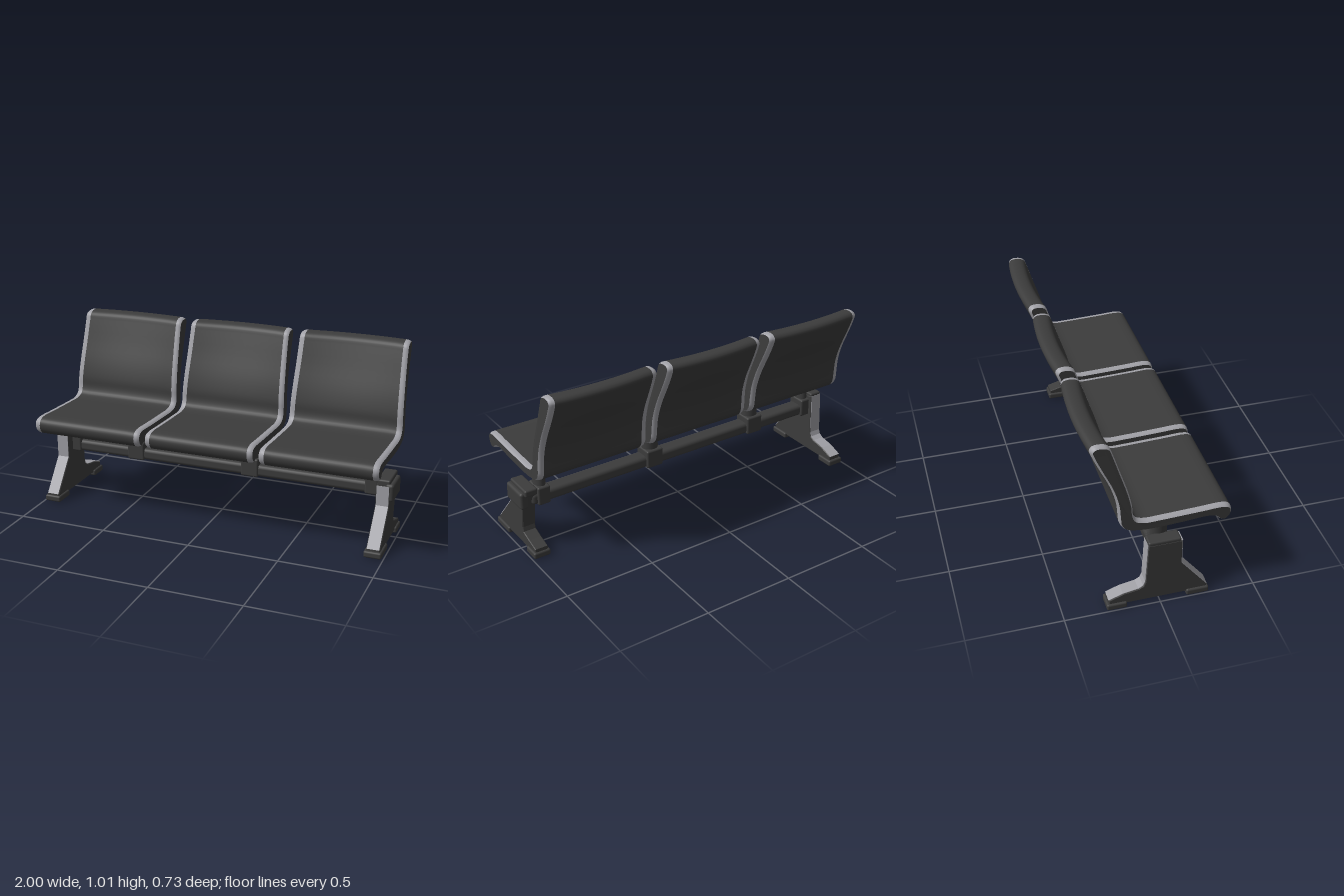
import * as THREE from 'three';
import { RoundedBoxGeometry } from 'three/addons/geometries/RoundedBoxGeometry.js';

const dark = new THREE.MeshStandardMaterial({ color: 0x3c3c3c });
dark.name = 'charcoal';
const silver = new THREE.MeshStandardMaterial({ color: 0xa0a0a6 });
silver.name = 'silver';

function add(parent, name, geometry, material, x = 0, y = 0, z = 0) {
  const mesh = new THREE.Mesh(geometry, material);
  mesh.name = name;
  mesh.position.set(x, y, z);
  parent.add(mesh);
  return mesh;
}

// Rounded box given by its limits on each axis
function block(parent, name, [x0, x1], [y0, y1], [z0, z1], radius = 0.01) {
  const geo = new RoundedBoxGeometry(x1 - x0, y1 - y0, z1 - z0, 2, radius);
  return add(parent, name, geo, dark, (x0 + x1) / 2, (y0 + y1) / 2, (z0 + z1) / 2);
}

// Side outline given as (z, y), extruded across x
function sidePlate(points, width, bevel = 0) {
  const shape = new THREE.Shape(points.map(([z, y]) => new THREE.Vector2(z, y)));
  const geo = new THREE.ExtrudeGeometry(shape, {
    depth: width - 2 * bevel, bevelEnabled: bevel > 0,
    bevelSize: bevel, bevelThickness: bevel, bevelOffset: -bevel, bevelSegments: 1,
  });
  geo.rotateY(-Math.PI / 2);
  return geo.translate((width - 2 * bevel) / 2, 0, 0);
}

// Seat side outline as (z, y): over the cushion, up the backrest, down behind, and under
const seatOutline = [
  [0.365, 0.5], [0.355, 0.526], [0.325, 0.54], [0.2, 0.537], [0, 0.53], [-0.085, 0.53],
  [-0.125, 0.546], [-0.139, 0.58], [-0.143, 0.63], [-0.163, 0.72], [-0.2, 0.84], [-0.238, 0.96],
  [-0.25, 0.99], [-0.275, 1.005], [-0.325, 1.005], [-0.342, 0.985], [-0.333, 0.95], [-0.295, 0.86],
  [-0.25, 0.76], [-0.22, 0.66], [-0.212, 0.58], [-0.206, 0.53], [-0.18, 0.494], [-0.13, 0.477],
  [-0.05, 0.47], [0.1, 0.475], [0.24, 0.484], [0.28, 0.476], [0.3, 0.456], [0.33, 0.447], [0.355, 0.467],
];
const loop = new THREE.CatmullRomCurve3(
  seatOutline.map(([z, y]) => new THREE.Vector3(z, y, 0)), true, 'centripetal').getPoints(110).slice(0, -1);

// Outline at station u (-1..1): tapers upward, and the backrest bows to the rear
function section(u, inset, halfWidth) {
  const n = loop.length;
  return loop.map((p, i) => {
    const a = loop[(i + n - 1) % n], b = loop[(i + 1) % n];
    const dz = b.x - a.x, dy = b.y - a.y, len = Math.hypot(dz, dy);
    const z = p.x - (dy / len) * inset, y = p.y + (dz / len) * inset;
    const rise = THREE.MathUtils.smoothstep(y, 0.5, 1);
    return [u * (halfWidth - 0.015 * rise), y, z - 0.023 * rise * (1 - u * u)];
  });
}

function loft(sections) {
  const n = loop.length, index = [];
  for (let i = 0; i < sections.length - 1; i++) {
    for (let j = 0; j < n; j++) {
      const k = (j + 1) % n, a = i * n + j, b = i * n + k, c = a + n, d = b + n;
      index.push(a, c, b, b, c, d);
    }
  }
  return finish(sections.flat(2), index);
}

function finish(positions, index) {
  const geo = new THREE.BufferGeometry();
  geo.setAttribute('position', new THREE.Float32BufferAttribute(positions, 3));
  geo.setIndex(index);
  geo.computeVertexNormals();
  return geo;
}

function makeSeat(x, halfWidth) {
  const seat = new THREE.Group();
  seat.name = 'seat';
  seat.position.x = x;
  const edge = 0.905, cut = (u, inset = 0) => section(u, inset, halfWidth);

  // Padded shell
  const stations = [];
  for (let i = 0; i <= 12; i++) stations.push(cut(edge * (i / 6 - 1)));
  add(seat, 'seatShell', loft(stations), dark);

  // Edge trim and end panel on each side
  for (const s of [-1, 1]) {
    const trim = [cut(s, 0.009), cut(s * 0.98, 0.004), cut(s * 0.95, 0.001), cut(s * edge)];
    add(seat, 'seatTrim', loft(s < 0 ? trim : trim.reverse()), silver);
    const rim = cut(s, 0.009);
    const tris = THREE.ShapeUtils.triangulateShape(rim.map(([, y, z]) => new THREE.Vector2(z, y)), []);
    add(seat, 'seatEndPanel',
      finish(rim.flat(), tris.flatMap(([a, b, c]) => (s < 0 ? [a, b, c] : [a, c, b]))), dark);
  }
  return seat;
}

// Leg from its front and rear edges, listed from top to bottom
function makeLeg(name, x, front, rear, pads, silverRear) {
  const leg = new THREE.Group();
  leg.name = name;
  leg.position.x = x;
  add(leg, 'legBody', sidePlate([...rear, ...[...front].reverse()], 0.074, 0.004), dark);

  // Thin bright facings on the edges
  const facing = (edge, dir) => {
    const out = edge.map(([z, y]) => [z + dir * 0.003, y + 0.002]);
    const inner = edge.map(([z, y]) => [z - dir * 0.004, y]);
    add(leg, 'legFacing', sidePlate([...out, ...inner.reverse()], 0.066), silver);
  };
  facing(front.slice(0, -1), 1);
  if (silverRear) facing(rear.slice(0, -1), -1);

  // Foot pads
  for (const range of pads) block(leg, 'footPad', [-0.048, 0.048], [0, 0.036], range);
  return leg;
}

export function createModel() {
  const model = new THREE.Group();
  model.name = 'bench';

  model.add(makeSeat(-0.655, 0.316), makeSeat(0, 0.305), makeSeat(0.655, 0.316));

  // Supporting beam
  block(model, 'beam', [-0.93, 0.93], [0.252, 0.318], [-0.035, 0.055], 0.02);

  // Posts with beam sleeves and mounting plates
  for (const [x, r] of [[-0.893, 0.032], [-0.507, 0.047], [0.18, 0.047], [0.865, 0.032]]) {
    const post = new THREE.Group();
    post.name = 'post';
    post.position.set(x, 0, 0.012);
    model.add(post);
    const column = add(post, 'postColumn', new THREE.CylinderGeometry(r * 0.95, r, 0.16, 24), dark, 0, 0.38, 0);
    column.scale.z = 0.046 / r;
    const plate = add(post, 'mountingPlate', new THREE.CylinderGeometry(0.07, 0.062, 0.026, 24), dark, 0, 0.463, 0);
    plate.scale.x = r < 0.04 ? 0.75 : 1;
    block(post, 'beamSleeve', [-r - 0.004, r + 0.004], [0.25, 0.355], [-0.06, 0.05]);
  }

  // Right-hand leg, bright on both edges
  const rightLeg = makeLeg('rightLeg', -0.948,
    [[0.11, 0.375], [0.11, 0.225], [0.25, 0.045], [0.25, 0.022]],
    [[-0.065, 0.375], [-0.075, 0.14], [-0.085, 0.115], [-0.11, 0.1], [-0.19, 0.086], [-0.265, 0.058], [-0.265, 0.022]],
    [[0.14, 0.26], [-0.278, -0.172]], true);
  block(rightLeg, 'legCap', [-0.036, 0.036], [0.365, 0.392], [-0.065, 0.105]);
  model.add(rightLeg);

  // Left-hand leg with the outer beam bracket
  const leftLeg = makeLeg('leftLeg', 0.943,
    [[0.128, 0.335], [0.128, 0.225], [0.285, 0.045], [0.285, 0.022]],
    [[-0.035, 0.335], [-0.012, 0.25], [0.005, 0.12], [-0.002, 0.095], [-0.06, 0.075], [-0.13, 0.055], [-0.13, 0.022]],
    [[0.158, 0.3], [-0.14, -0.043]], false);
  block(leftLeg, 'legCap', [-0.036, 0.036], [0.328, 0.367], [-0.055, 0.118]);
  block(leftLeg, 'beamBracket', [0.01, 0.057], [0.25, 0.348], [-0.04, 0.127], 0.015);
  model.add(leftLeg);

  return model;
}
